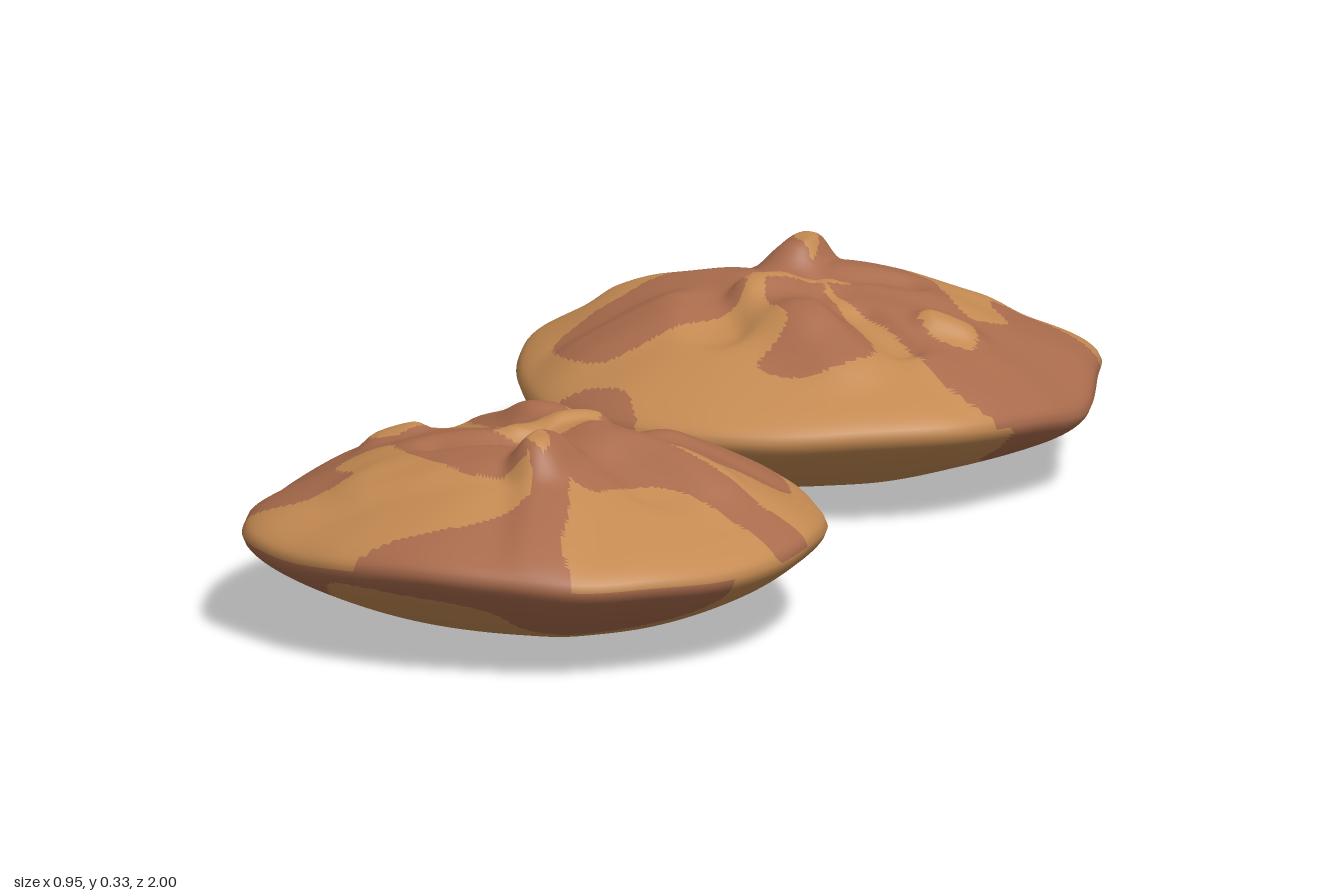
import * as THREE from 'three';

const LIGHT = 0xc48a52, BROWN = 0xa96b4c;

// Rim of one cookie: x, height, z
const rim = closedCurve([
  [.45, .16, 0], [.44, .15, .12], [.395, .145, .24], [.32, .15, .345], [.225, .15, .42], [.1, .16, .455],
  [-.04, .165, .465], [-.18, .155, .43], [-.29, .145, .365], [-.39, .15, .28], [-.44, .15, .15],
  [-.475, .125, .01], [-.455, .14, -.13], [-.385, .15, -.285], [-.26, .15, -.38], [-.13, .145, -.445],
  [.02, .145, -.465], [.16, .145, -.44], [.28, .14, -.36], [.36, .14, -.25], [.42, .15, -.13],
]);

// Folds: start x, z, end x, z, width, height; the side right of the direction falls off steeply
const folds = [
  [-.18, -.24, -.08, -.16, .075, .02],
  [-.08, -.16, .02, -.05, .07, .014],
  [-.04, .0, .055, -.08, .035, .014],
  [.3, .02, .1, -.02, .06, .012],
  [.17, -.14, .28, -.2, .09, .02],
  [.05, .13, .05, .18, .055, .046],
  [.08, .2, .14, .4, .07, .016],
  [-.25, -.05, -.29, -.04, .04, .018],
  [-.12, .04, -.34, -.04, .12, .018],
  [-.3, -.18, -.38, -.2, .07, .012],
  [-.2, .22, -.02, .17, .08, .016],
  [.26, -.03, .14, -.06, .16, .016],
  [-.13, .1, -.02, .07, .05, -.018],
  [.17, .08, .22, .12, .07, -.012],
  [.04, -.2, .09, -.12, .06, -.014],
  [-.24, -.15, -.14, -.08, .04, -.014],
];

// Brown patches on the top
const topPatches = [
  [[-.52, -.17], [-.38, -.23], [-.3, -.2], [-.2, -.1], [-.06, -.02], [.02, .1], [.06, .2], [-.04, .22],
    [-.16, .15], [-.27, .04], [-.31, .1], [-.25, .18], [-.32, .23], [-.43, .2], [-.52, .12]],
  [[0, .12], [.1, .1], [.12, .2], [.15, .28], [.17, .36], [.26, .52], [-.22, .52], [-.12, .42], [.02, .35], [.08, .26]],
  [[.01, -.05], [.15, -.02], [.3, .02], [.38, .03], [.52, .04], [.52, .12], [.36, .11], [.22, .1], [.15, .2], [.05, .14]],
  [[.12, -.2], [.22, -.28], [.31, -.22], [.35, -.13], [.25, -.02], [.12, 0], [.05, -.1]],
  [[.08, -.52], [.24, -.48], [.25, -.36], [.14, -.38]],
  [[-.21, -.22], [-.13, -.31], [-.05, -.3], [-.06, -.2], [0, -.13], [.03, -.04], [-.03, -.02], [-.12, -.1]],
  [[-.05, -.05], [.06, -.06], [.09, .08], [0, .1]],
].map(smoothOutline);

// Light flaps lying on the brown patches
const lightFlaps = [
  [[-.32, -.08], [-.27, -.09], [-.22, -.05], [-.25, -.01], [-.3, -.02]],
  [[.02, .11], [.06, .14], [.08, .2], [.04, .18]],
  [[-.08, .02], [-.04, -.02], [.05, -.08], [.07, -.05], [0, .03]],
].map(smoothOutline);

// Brown patches on the underside
const bottomPatches = [
  [[-.42, .2], [-.25, .28], [-.2, .4], [-.06, .43], [.06, .4], [.1, .28], [.34, .2], [.44, .26], [.4, .45], [0, .6], [-.45, .45]],
  [[-.52, -.2], [-.36, -.14], [-.34, .05], [-.38, .14], [-.52, .15]],
  [[.08, -.52], [.1, -.36], [.24, -.3], [.32, -.45]],
].map(smoothOutline);

function closedCurve(points) {
  return new THREE.CatmullRomCurve3(points.map(p => new THREE.Vector3(...p)), true);
}

function smoothOutline(points) {
  return closedCurve(points.map(([x, z]) => [x, 0, z])).getPoints(points.length * 6);
}

function inside(outline, x, z) {
  let hit = false;
  for (let i = 0, j = outline.length - 1; i < outline.length; j = i++) {
    const a = outline[i], b = outline[j];
    if ((a.z > z) !== (b.z > z) && x < (b.x - a.x) * (z - a.z) / (b.z - a.z) + a.x) hit = !hit;
  }
  return hit;
}

function foldHeight(x, z) {
  let sum = 0;
  for (const [ax, az, bx, bz, width, height] of folds) {
    const dx = bx - ax, dz = bz - az;
    const k = THREE.MathUtils.clamp(((x - ax) * dx + (z - az) * dz) / (dx * dx + dz * dz), 0, 1);
    const ox = x - ax - k * dx, oz = z - az - k * dz;
    // ease from the gentle side to the steep side
    const side = (dx * oz - dz * ox) / (Math.hypot(dx, dz) * (Math.hypot(ox, oz) + 1e-6));
    const w = width * (1 - .2 * (1 + side));
    sum += height * Math.exp(-(((ox * ox + oz * oz) / (w * w)) ** 1.5));
  }
  return sum;
}

// One shell from the bottom centre out to the rim and back to the top centre
function cookieGeometries() {
  const around = 240, rings = 60;
  const pos = [0, 0, 0], outline = [];
  for (let i = 0; i < around; i++) outline.push(rim.getPoint(i / around));
  for (let r = 1; r < 2 * rings; r++) {
    const top = r > rings;
    // rings crowd together towards the rounded rim
    const u = top ? 2 - r / rings : r / rings;
    const t = u * (1.35 - .35 * u);
    const round = .06 * t ** 8 * Math.sqrt(Math.max(0, 1 - t * t));
    for (const p of outline) {
      const x = p.x * t, z = p.z * t;
      const y = top
        ? p.y * t + .145 * (1 - t) + .14 * (1 - t ** 2.2) + foldHeight(x, z) * (1 - t ** 6) + round
        : p.y * t ** 2.6 - round;
      pos.push(x, y, z);
    }
  }
  pos.push(0, .285 + foldHeight(0, 0), 0);

  const index = [], last = pos.length / 3 - 1;
  const at = (r, i) => r === 0 ? 0 : r === 2 * rings ? last : 1 + (r - 1) * around + i % around;
  const light = [], brown = [];
  const face = (a, b, c, top) => {
    index.push(a, b, c);
    const x = (pos[3 * a] + pos[3 * b] + pos[3 * c]) / 3;
    const z = (pos[3 * a + 2] + pos[3 * b + 2] + pos[3 * c + 2]) / 3;
    const within = outlines => outlines.some(o => inside(o, x, z));
    const isBrown = top ? within(topPatches) && !within(lightFlaps) : within(bottomPatches);
    (isBrown ? brown : light).push(a, b, c);
  };
  for (let r = 0; r < 2 * rings; r++) {
    for (let i = 0; i < around; i++) {
      const a = at(r, i), b = at(r, i + 1), c = at(r + 1, i), d = at(r + 1, i + 1);
      if (r < 2 * rings - 1) face(a, c, d, r >= rings);
      if (r > 0) face(a, d, b, r >= rings);
    }
  }

  // Normals come from the whole shell so the two colours meet smoothly
  const whole = new THREE.BufferGeometry();
  whole.setAttribute('position', new THREE.Float32BufferAttribute(pos, 3));
  whole.setIndex(index);
  whole.computeVertexNormals();
  return [light, brown].map(list => {
    const part = whole.clone();
    part.setIndex(list);
    return part;
  });
}

export function createModel() {
  const model = new THREE.Group();
  model.name = 'cookies';
  const [lightGeometry, brownGeometry] = cookieGeometries();
  const lightMaterial = new THREE.MeshStandardMaterial({ color: LIGHT });
  const brownMaterial = new THREE.MeshStandardMaterial({ color: BROWN });

  // The second cookie is the first turned half way round
  ['frontCookie', 'backCookie'].forEach((name, i) => {
    const cookie = new THREE.Group();
    cookie.name = name;
    const dough = new THREE.Mesh(lightGeometry, lightMaterial);
    dough.name = 'lightDough';
    const patches = new THREE.Mesh(brownGeometry, brownMaterial);
    patches.name = 'brownPatches';
    cookie.add(dough, patches);
    cookie.rotation.y = i * Math.PI;
    cookie.position.z = i ? -.535 : .535;
    model.add(cookie);
  });
  return model;
}
